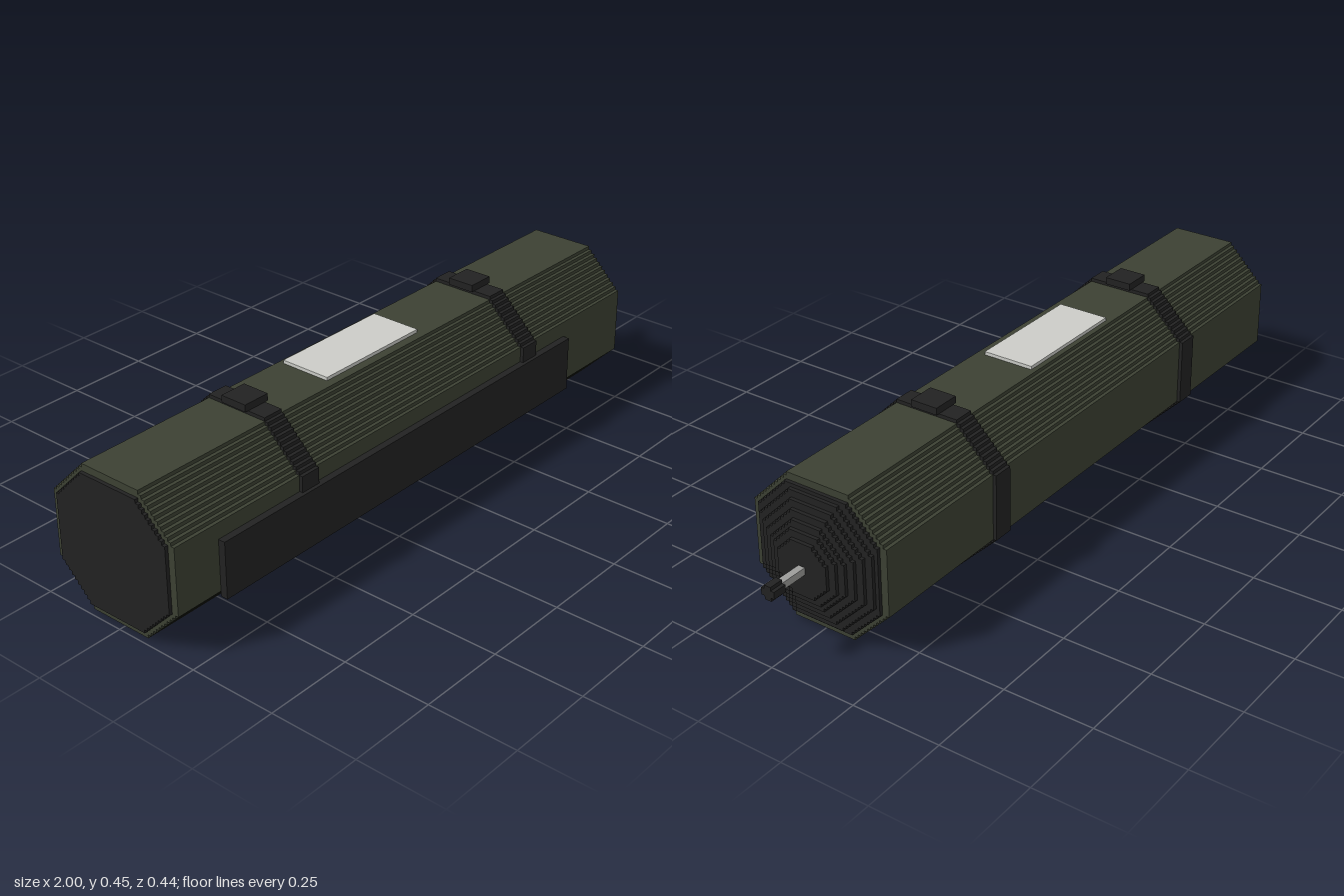
import * as THREE from 'three';

const STEP = 0.01, CY = 0.215, CZ = -0.005;

// Stair-stepped octagon: "half" is the half height, "flat" half the width of its flat sides
function steppedOctagon(half, flat) {
  const n = Math.round((half - flat) / STEP);
  const quarter = [];
  for (let i = 0; i < n; i++) {
    quarter.push([half - i * STEP, flat + i * STEP], [half - (i + 1) * STEP, flat + i * STEP]);
  }
  quarter.push([flat, half]);
  const points = [];
  for (let q = 0; q < 4; q++) {
    for (const [a, b] of quarter) {
      const [x, y] = [[a, b], [-b, a], [-a, -b], [b, -a]][q];
      points.push(new THREE.Vector2(x, y));
    }
  }
  return new THREE.Shape(points);
}

export function createModel() {
  const model = new THREE.Group();
  const mat = (name, color) => {
    const m = new THREE.MeshStandardMaterial({ color });
    m.name = name;
    return m;
  };
  const green = mat('olive green', 0x3c4133);
  const black = mat('soft black', 0x222222);
  const white = mat('label white', 0xcccdc8);
  const metal = mat('metal grey', 0x9c9c9a);

  const add = (name, geometry, material) => {
    const mesh = new THREE.Mesh(geometry, material);
    mesh.name = name;
    model.add(mesh);
  };
  // Slab of stepped octagon between x0 and x1
  const slab = (name, x0, x1, half, flat, material) => {
    const g = new THREE.ExtrudeGeometry(steppedOctagon(half, flat), { depth: x1 - x0, bevelEnabled: false });
    add(name, g.rotateY(Math.PI / 2).translate(x0, CY, CZ), material);
  };
  const box = (name, x0, x1, y0, y1, z0, z1, material) => {
    const g = new THREE.BoxGeometry(x1 - x0, y1 - y0, z1 - z0);
    add(name, g.translate((x0 + x1) / 2, (y0 + y1) / 2, (z0 + z1) / 2), material);
  };

  // Main tube and rear cap
  slab('tubeBody', -0.99, 0.81, 0.205, 0.095, green);
  slab('rearCap', -1, -0.99, 0.185, 0.095, black);

  // Stepped nose
  const rings = [[0.185, 0.095], [0.175, 0.075], [0.155, 0.065], [0.135, 0.055],
    [0.115, 0.045], [0.095, 0.045], [0.075, 0.035]];
  rings.forEach(([half, flat], i) => {
    slab('noseStep' + (i + 1), 0.81 + i * STEP, 0.82 + i * STEP, half, flat, black);
  });

  // Pin with a plus-shaped knob
  box('pin', 0.88, 0.96, CY - 0.01, CY + 0.01, CZ - 0.01, CZ + 0.01, metal);
  slab('knob', 0.96, 1, 0.02, 0.01, black);

  // Straps with buckles
  for (const x of [-0.54, 0.36]) {
    slab('strap', x - 0.03, x + 0.03, 0.215, 0.095, black);
    box('buckle', x - 0.04, x + 0.04, 0.43, 0.45, CZ - 0.04, CZ + 0.04, black);
  }

  // Side panel and top label
  box('sidePanel', -0.85, 0.535, 0.105, 0.265, 0.2, 0.22, black);
  box('topLabel', -0.315, 0.045, 0.42, 0.4295, -0.085, 0.065, white);

  return model;
}
